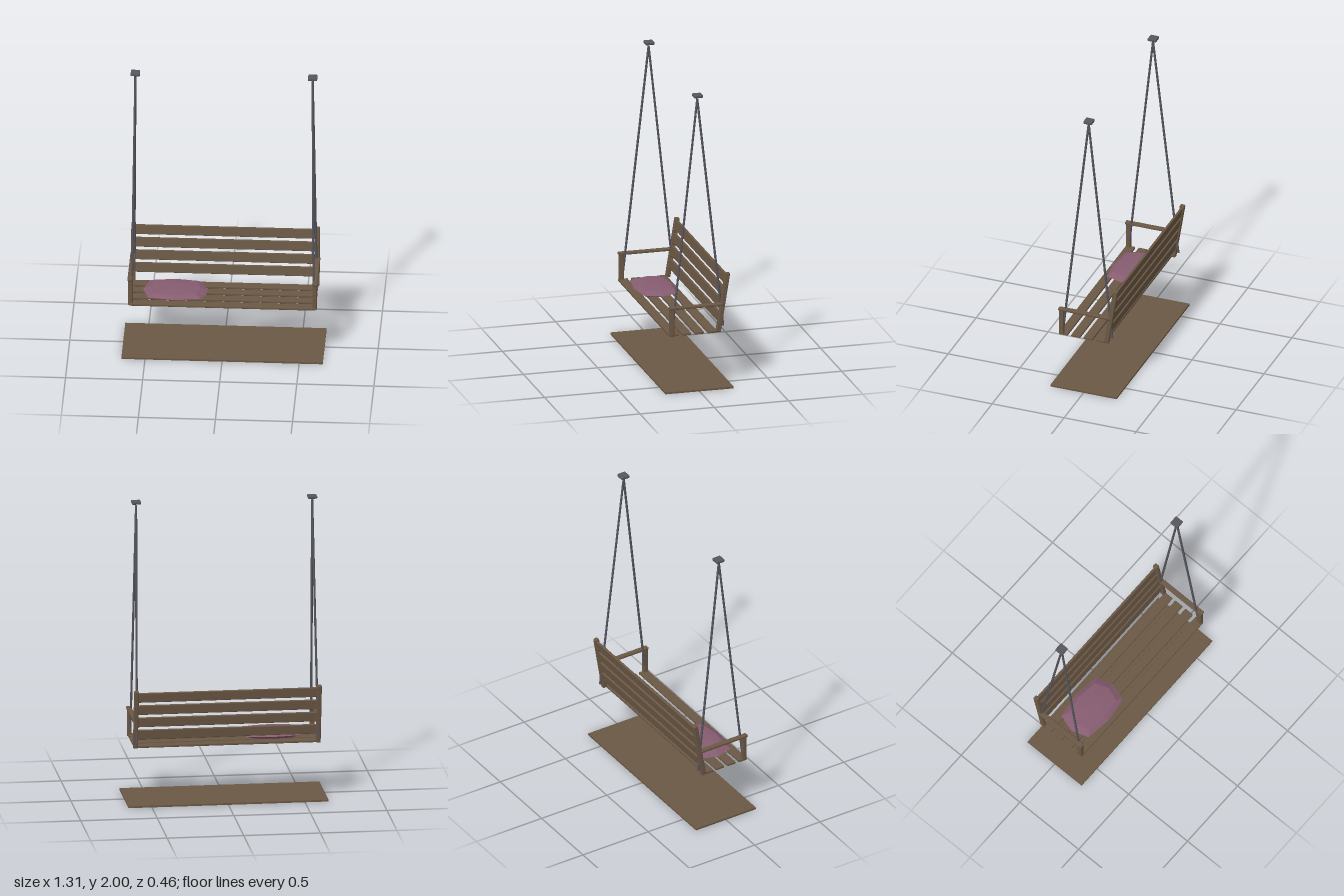
import * as THREE from 'three';
import { RoundedBoxGeometry } from 'three/addons/geometries/RoundedBoxGeometry.js';

const mat = (name, color, opts = {}) => {
  const m = new THREE.MeshStandardMaterial({ color, ...opts });
  m.name = name;
  return m;
};

export function createModel() {
  const group = new THREE.Group();
  const wood = mat('brown wood', 0x6b5845);
  const metal = mat('dark metal', 0x57555f);
  const fabric = mat('mauve fabric', 0x865c70, { flatShading: true });

  const add = (name, geometry, material, x, y, z) => {
    const mesh = new THREE.Mesh(geometry, material);
    mesh.name = name;
    mesh.position.set(x, y, z);
    group.add(mesh);
    return mesh;
  };
  const box = (name, m, w, h, d, x, y, z, r = 0) =>
    add(name, r ? new RoundedBoxGeometry(w, h, d, 2, r) : new THREE.BoxGeometry(w, h, d), m, x, y, z);

  // Round bar between two points
  const bar = (name, a, b, r) => {
    const dir = b.clone().sub(a);
    const mid = a.clone().add(b).multiplyScalar(0.5);
    const mesh = add(name, new THREE.CylinderGeometry(r, r, dir.length(), 8), metal, mid.x, mid.y, mid.z);
    mesh.quaternion.setFromUnitVectors(new THREE.Vector3(0, 1, 0), dir.normalize());
  };

  // Floor board below the swing
  box('floorBoard', wood, 1.306, 0.012, 0.46, 0, 0.006, 0);

  // Seat slats
  for (let i = 0; i < 4; i++) {
    box('seatSlat', wood, 1.21, 0.016, 0.063, 0, 0.381, 0.16 - i * 0.0865, 0.004);
  }

  // Leaning back: posts and slats share one tilt
  const lean = 0.16;
  const backZ = (y) => -0.172 - (y - 0.576) * Math.tan(lean);
  for (let i = 0; i < 4; i++) {
    const y = 0.471 + i * 0.0857;
    box('backSlat', wood, 1.18, 0.065, 0.016, 0, y, backZ(y), 0.004).rotation.x = -lean;
  }

  for (const s of [-1, 1]) {
    // Frame at each end
    box('backPost', wood, 0.03, 0.402, 0.032, s * 0.597, 0.576, backZ(0.576), 0.007).rotation.x = -lean;
    box('armPost', wood, 0.029, 0.186, 0.032, s * 0.597, 0.469, 0.172, 0.006);
    box('armrest', wood, 0.034, 0.018, 0.368, s * 0.599, 0.563, 0.009, 0.006);

    // Ceiling plate and hanging chains
    box('ceilingPlate', metal, 0.06, 0.02, 0.06, s * 0.575, 1.99, -0.008, 0.006);
    const top = new THREE.Vector3(s * 0.575, 1.968, -0.006);
    bar('frontChain', top, new THREE.Vector3(s * 0.59, 0.415, 0.165), 0.0075);
    bar('backChain', top, new THREE.Vector3(s * 0.592, 0.415, -0.176), 0.0075);
  }

  // Cushion: stacked octagonal rings closed at both ends
  const outline = [[1, 0], [0.82, 0.83], [0, 1], [-0.82, 0.83], [-1, 0], [-0.82, -0.83], [0, -1], [0.82, -0.83]];
  const rings = [[0.388, 0], [0.389, 0.7], [0.412, 1], [0.433, 0.78], [0.44, 0.4], [0.441, 0]];
  const pos = [], idx = [];
  for (const [y, k] of rings) {
    for (const [x, z] of outline) pos.push(x * 0.21 * k, y, z * 0.138 * k);
  }
  for (let r = 0; r < rings.length - 1; r++) {
    for (let i = 0; i < 8; i++) {
      const a = r * 8 + i, b = r * 8 + (i + 1) % 8;
      if (r > 0) idx.push(a, b + 8, b);
      if (r === 0) idx.push(a, a + 8, b + 8);
      else if (r < rings.length - 2) idx.push(a, a + 8, b + 8);
    }
  }
  const cushion = new THREE.BufferGeometry();
  cushion.setAttribute('position', new THREE.Float32BufferAttribute(pos, 3));
  cushion.setIndex(idx);
  cushion.computeVertexNormals();
  add('cushion', cushion, fabric, -0.313, 0, 0.03);

  return group;
}
